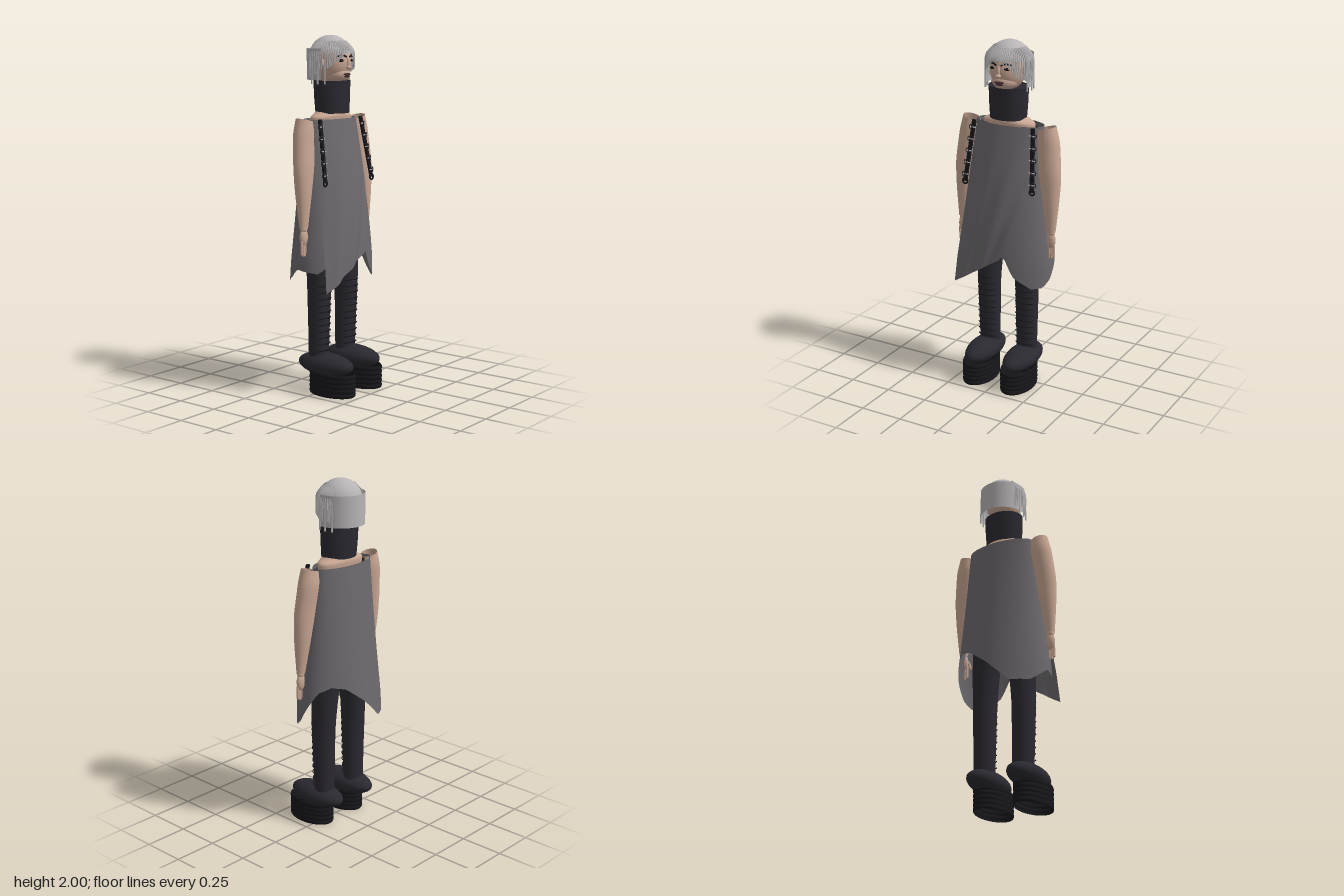
import * as THREE from 'three';

const mat = (color) => new THREE.MeshStandardMaterial({ color, side: THREE.DoubleSide });
const skin = mat(0xc9a794), dark = mat(0x2b2930), cloth = mat(0x6c696c), hair = mat(0xb8b4b6), black = mat(0x17161a), lip = mat(0x4a3030);
const { sin, cos, PI, sqrt } = Math;
const lerp = THREE.MathUtils.lerp, rad = THREE.MathUtils.degToRad;

function add(parent, name, geo, material, x = 0, y = 0, z = 0) {
  const m = new THREE.Mesh(geo, material);
  m.name = name;
  m.position.set(x, y, z);
  parent.add(m);
  return m;
}

// Grid surface from a function f(u, v) -> [x, y, z]
function sheet(nu, nv, f) {
  const g = new THREE.PlaneGeometry(1, 1, nu, nv), p = g.attributes.position;
  for (let j = 0, k = 0; j <= nv; j++) for (let i = 0; i <= nu; i++, k++) p.setXYZ(k, ...f(i / nu, j / nv));
  g.computeVertexNormals();
  return g;
}

// Smooth loft through elliptical sections [cx, cy, cz, rx, rz, slant], listed top to bottom
function loft(sections, nu = 24, nv = 24) {
  const centre = new THREE.CatmullRomCurve3(sections.map((s) => new THREE.Vector3(s[0], s[1], s[2])));
  const size = new THREE.CatmullRomCurve3(sections.map((s) => new THREE.Vector3(s[3], s[4], s[5] || 0)));
  return sheet(nu, nv, (u, v) => {
    const c = centre.getPoint(v), r = size.getPoint(v), a = u * 2 * PI;
    return [c.x + r.x * sin(a), c.y + r.z * sin(a), c.z + r.y * cos(a)];
  });
}

const tube = (pts, r, n = 10, sides = 6) =>
  new THREE.TubeGeometry(new THREE.CatmullRomCurve3(pts.map((p) => new THREE.Vector3(...p))), n, r, sides);

function ellipsoid(parent, name, material, [x, y, z], [rx, ry, rz]) {
  const m = add(parent, name, new THREE.SphereGeometry(1, 28, 20), material, x, y, z);
  m.scale.set(rx, ry, rz);
  return m;
}

// Tunic body shape at a height: half width, front z and back z
function tunicSize(y) {
  const t = (1.54 - y) / 0.9;
  return { rx: 0.205 + 0.08 * Math.min(1, t * 1.15), front: 0.04 + 0.125 * sin(Math.min(1, t) * PI / 2), back: -0.135 - 0.088 * t };
}
function tunicPoint(a, y) {
  const s = tunicSize(y), c = (s.front + s.back) / 2, h = (s.front - s.back) / 2;
  return [s.rx * sin(a), y, c + h * cos(a)];
}
// Hem height around the body: [degrees from the front, y]
const hem = [[0, 0.82], [15, 0.8], [25, 0.7], [48, 0.63], [65, 0.63], [80, 0.67], [97, 0.76], [115, 0.85], [135, 0.88], [155, 0.86],
  [180, 0.77], [208, 0.64], [235, 0.64], [265, 0.72], [300, 0.7], [330, 0.78], [360, 0.82]];
function hemAt(deg) {
  const i = Math.max(1, hem.findIndex((h) => h[0] >= deg));
  const [a, b] = [hem[i - 1], hem[i]];
  return lerp(a[1], b[1], (deg - a[0]) / (b[0] - a[0]));
}

function tunic(root) {
  const g = new THREE.Group();
  g.name = 'tunic';
  root.add(g);
  add(g, 'tunicBody', sheet(96, 20, (u, v) => tunicPoint(u * 2 * PI, lerp(1.54, hemAt(u * 360), v))), cloth);
  // Wrapped front flap ending in a point
  add(g, 'frontFlap', sheet(40, 24, (u, v) => {
    const y = lerp(1.54, lerp(0.6, 0.8, u), v);
    const x = lerp(lerp(-0.195, -0.262, v), 0.2 - 0.15 * v ** 1.6, u);
    const s = tunicSize(y), c = (s.front + s.back) / 2, h = (s.front - s.back) / 2;
    const z = c + h * sqrt(Math.max(0, 1 - (x / s.rx) ** 2));
    const folds = 0.006 * v * sin(u * 17 + v * 4);
    return [x, y, z + 0.009 + folds + 0.09 * v ** 3 * (1 - u) ** 3];
  }), cloth);
}

function head(root) {
  const g = new THREE.Group();
  g.name = 'head';
  root.add(g);
  ellipsoid(g, 'face', skin, [0, 1.85, -0.02], [0.1, 0.125, 0.108]);
  ellipsoid(g, 'jaw', skin, [0, 1.785, 0.005], [0.075, 0.055, 0.08]);
  ellipsoid(g, 'noseBridge', skin, [0, 1.845, 0.085], [0.01, 0.032, 0.012]);
  ellipsoid(g, 'noseTip', skin, [0, 1.822, 0.092], [0.016, 0.012, 0.015]);
  ellipsoid(g, 'upperLip', lip, [0, 1.785, 0.081], [0.03, 0.007, 0.01]);
  ellipsoid(g, 'lowerLip', lip, [0, 1.774, 0.079], [0.024, 0.007, 0.01]);
  for (const s of [-1, 1]) {
    ellipsoid(g, 'eye', black, [s * 0.04, 1.86, 0.072], [0.02, 0.009, 0.01]);
    add(g, 'eyebrow', tube([[s * 0.015, 1.88, 0.088], [s * 0.04, 1.89, 0.082], [s * 0.07, 1.882, 0.062]], 0.005), black);
    ellipsoid(g, 'ear', skin, [s * 0.102, 1.845, -0.02], [0.012, 0.03, 0.02]);
  }
  // Hair cap, back shell and hanging strands
  const cap = add(g, 'hairCap', new THREE.SphereGeometry(0.116, 36, 16, 0, 2 * PI, 0, PI * 0.46), hair, 0, 1.884, -0.035);
  cap.scale.set(1, 1, 1.03);
  add(g, 'hairBack', new THREE.CylinderGeometry(0.132, 0.132, 0.172, 40, 1, true, PI / 2 - 0.25, PI + 0.5), hair, 0, 1.84, -0.035);
  const n = 46;
  for (let i = 0; i < n; i++) {
    const a = lerp(-1.95, 1.95, i / (n - 1)), side = Math.min(1, Math.abs(a) / 1.5);
    const jitter = sin(i * 12.9) * 0.022, lean = a - 0.1 + 0.05 * sin(i * 5.3);
    const end = lerp(1.885, 1.765, side ** 2) + jitter;
    const at = (r, y, b) => [r * sin(b), y, -0.035 + r * cos(b)];
    add(g, 'hairStrand', tube([at(0.085, 1.966, a), at(0.114, 1.936, a), at(0.13, 1.91, (a + lean) / 2), at(0.132, end, lean)], 0.0042, 8, 5), hair);
  }
  for (let i = 0; i < 6; i++) {
    const s = i % 2 ? 1 : -1, b = s * (1.15 + 0.16 * i);
    add(g, 'longStrand', tube([[0.13 * sin(b), 1.9, -0.035 + 0.13 * cos(b)], [0.133 * sin(b), 1.732, -0.035 + 0.133 * cos(b)]], 0.005, 2, 5), hair);
  }
}

function arm(root, s) {
  const g = new THREE.Group();
  g.name = s > 0 ? 'leftArm' : 'rightArm';
  root.add(g);
  // Sleeve-like arm, open at the slanted shoulder
  add(g, 'arm', loft([[s * 0.238, 1.54, -0.03, 0.05, 0.045, s * 0.012], [s * 0.247, 1.45, -0.028, 0.066, 0.052], [s * 0.262, 1.3, -0.015, 0.067, 0.05],
    [s * 0.274, 1.15, -0.008, 0.052, 0.042], [s * 0.283, 0.955, 0, 0.027, 0.021]]), skin);
  ellipsoid(g, 'wrist', skin, [s * 0.283, 0.95, 0], [0.024, 0.02, 0.018]);
  ellipsoid(g, 'palm', skin, [s * 0.283, 0.905, 0], [0.029, 0.05, 0.018]);
  for (let i = 0; i < 4; i++) {
    const x = 0.262 + i * 0.014, low = 0.8 + 0.008 * Math.abs(i - 1.5);
    add(g, 'finger', new THREE.CapsuleGeometry(0.0075, 0.88 - low, 4, 8), skin, s * x, (0.88 + low) / 2, 0.003);
  }
  const thumb = add(g, 'thumb', new THREE.CapsuleGeometry(0.008, 0.045, 4, 8), skin, s * 0.25, 0.885, 0.01);
  thumb.rotation.z = -s * 0.35;
}

function strap(root, s) {
  const g = new THREE.Group();
  g.name = 'shoulderStrap';
  root.add(g);
  const at = (t) => [s * lerp(0.183, 0.212, t), lerp(1.545, 1.2, t), lerp(0.035, 0.095, t)];
  const band = add(g, 'strapBand', new THREE.BoxGeometry(0.022, 0.35, 0.012), black, ...at(0.5));
  band.rotation.set(-0.17, 0, s * 0.08);
  for (let i = 0; i < 5; i++) {
    const [x, y, z] = at(0.12 + i * 0.19);
    const ring = add(g, 'strapRing', new THREE.TorusGeometry(0.013, 0.003, 6, 14), dark, x + s * 0.012, y, z + 0.008);
    ring.rotation.y = s * 0.5;
    add(g, 'strapStud', new THREE.CapsuleGeometry(0.0035, 0.03, 3, 6), hair, x, y, z + 0.009).rotation.z = PI / 2;
  }
  add(g, 'strapLoop', new THREE.TorusGeometry(0.015, 0.005, 8, 18), black, ...at(1));
}

function leg(root, s) {
  const g = new THREE.Group();
  g.name = s > 0 ? 'leftLeg' : 'rightLeg';
  root.add(g);
  add(g, 'legTube', loft([[s * 0.085, 1, -0.035, 0.09, 0.09], [s * 0.112, 0.82, -0.025, 0.078, 0.08], [s * 0.123, 0.6, -0.02, 0.067, 0.069],
    [s * 0.123, 0.4, -0.022, 0.064, 0.06], [s * 0.122, 0.19, -0.025, 0.06, 0.054]]), dark);
  // Lacing up the shin
  for (let i = 0; i < 11; i++) {
    const y = 0.24 + i * 0.037, r = lerp(0.055, 0.07, i / 10), pts = [];
    for (let k = -4; k <= 4; k++) pts.push([s * 0.123 + 0.065 * sin(k * 0.26), y + 0.006 * cos(k * 0.4), -0.021 + r * cos(k * 0.26) + 0.002]);
    add(g, 'lace', tube(pts, 0.003, 12, 5), black);
    const hook = add(g, 'laceHook', new THREE.ConeGeometry(0.004, 0.02, 5), black, s * 0.123, y + 0.006, r - 0.011);
    hook.rotation.x = PI / 2 - 0.5;
  }
  // Rounded shoe on a hollow ribbed platform
  ellipsoid(g, 'shoe', dark, [s * 0.125, 0.165, 0.028], [0.088, 0.064, 0.184]);
  const profile = [];
  for (let i = 0; i <= 40; i++) profile.push(new THREE.Vector2(0.96 + 0.04 * Math.abs(sin(i / 40 * 5 * PI)) ** 0.6, i / 40 * 0.13));
  const sole = add(g, 'platformSole', new THREE.LatheGeometry(profile, 40), black, s * 0.125, 0, 0.075);
  sole.scale.set(0.092, 1, 0.149);
}

export function createModel() {
  const root = new THREE.Group();
  root.name = 'figure';
  head(root);
  // High collar around the neck
  add(root, 'neckWrap', loft([[0, 1.75, -0.025, 0.115, 0.095], [0, 1.66, -0.024, 0.112, 0.092], [0, 1.57, -0.022, 0.106, 0.087]], 36, 10), dark);
  add(root, 'neckWrapTop', new THREE.CircleGeometry(1, 36), dark, 0, 1.745, -0.025).rotation.x = -PI / 2;
  root.children.at(-1).scale.set(0.114, 0.094, 1);
  add(root, 'shoulders', loft([[0, 1.6, -0.025, 0.085, 0.07], [0, 1.572, -0.028, 0.115, 0.075], [0, 1.55, -0.03, 0.158, 0.078], [0, 1.52, -0.03, 0.16, 0.075]], 36, 10), skin);
  // Inner body under the tunic
  add(root, 'torso', loft([[0, 1.525, -0.035, 0.18, 0.072], [0, 1.35, -0.03, 0.175, 0.09], [0, 1.15, -0.03, 0.15, 0.09], [0, 0.98, -0.035, 0.165, 0.095], [0, 0.9, -0.035, 0.07, 0.06]], 32, 20), dark);
  tunic(root);
  for (const s of [-1, 1]) {
    arm(root, s);
    strap(root, s);
    leg(root, s);
  }
  return root;
}
